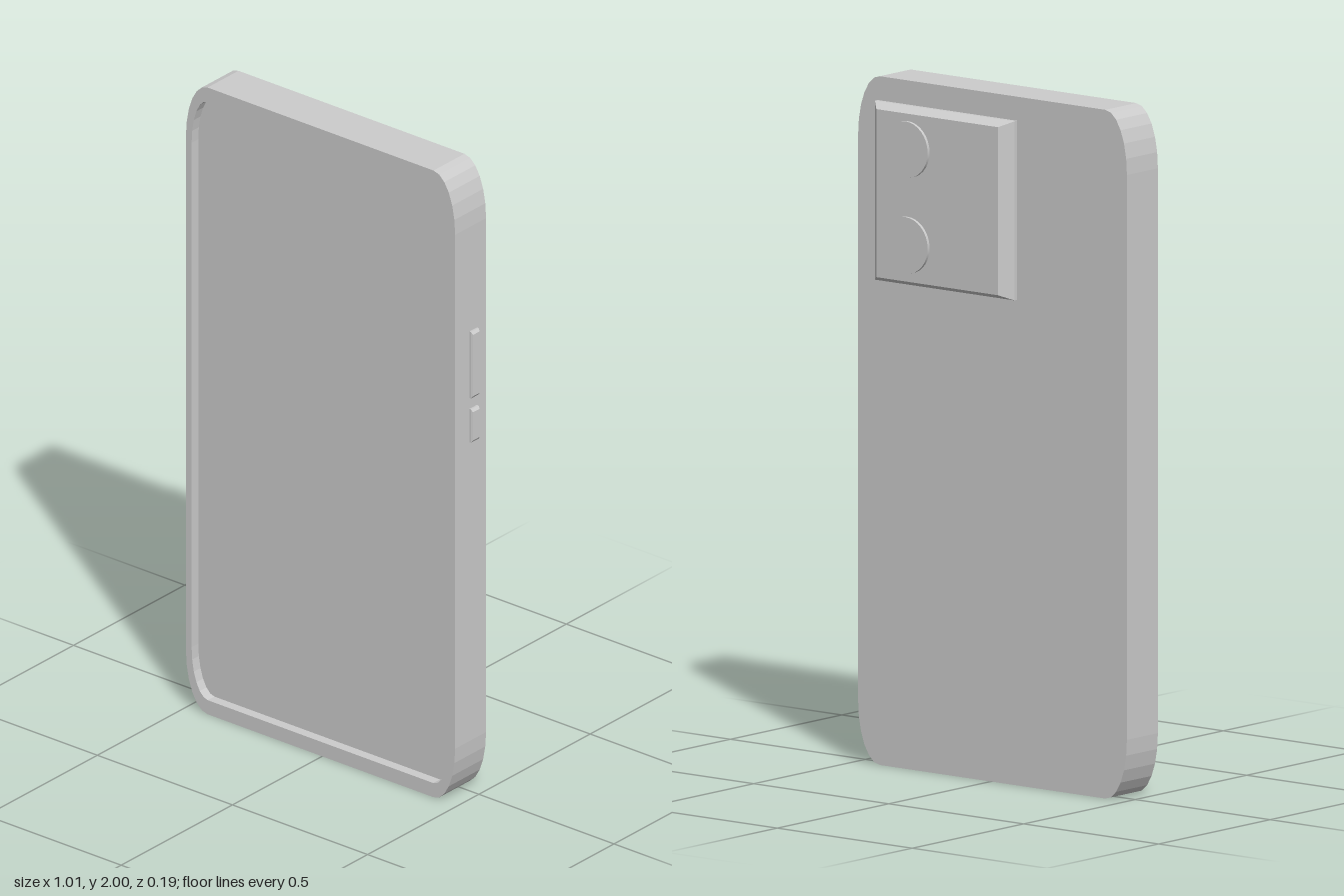
import * as THREE from 'three';

const CX = -0.006; // middle of the body; the buttons stick out on +x
const FRONT = 0.097, FLOOR = 0.067, BACK = -0.042;

// Rectangle with elliptical corners, wound counter-clockwise
function roundedRect(path, hw, hh, rx, ry) {
  const x = hw - rx, y = hh - ry;
  path.moveTo(hw, -y);
  [[x, y], [-x, y], [-x, -y], [x, -y]].forEach(([cx, cy], i) => {
    const a = i * Math.PI / 2;
    path.absellipse(cx, cy, rx, ry, a, a + Math.PI / 2, false);
  });
  return path;
}

function outline() {
  return roundedRect(new THREE.Shape(), 0.498, 1, 0.08, 0.18);
}

function extrude(shape, z0, z1) {
  const geo = new THREE.ExtrudeGeometry(shape, { depth: z1 - z0, bevelEnabled: false, curveSegments: 3 });
  return geo.translate(CX, 1, z0);
}

// Box whose end face along one axis is inset, after a short straight section
function bevelledBox(size, axis, sign, straight, inset) {
  const segs = { x: 1, y: 1, z: 1, [axis]: 2 };
  const geo = new THREE.BoxGeometry(size.x, size.y, size.z, segs.x, segs.y, segs.z).toNonIndexed();
  const p = geo.attributes.position;
  const v = new THREE.Vector3();
  const half = size[axis] / 2;
  for (let i = 0; i < p.count; i++) {
    v.fromBufferAttribute(p, i);
    const t = v[axis] * sign;
    if (Math.abs(t) < 1e-6) {
      v[axis] = sign * (straight - half);
    } else if (t > 0) {
      for (const k of ['x', 'y', 'z']) if (k !== axis) v[k] -= Math.sign(v[k]) * inset[k];
    }
    p.setXYZ(i, v.x, v.y, v.z);
  }
  geo.computeVertexNormals();
  return geo;
}

export function createModel() {
  const group = new THREE.Group();
  const grey = new THREE.MeshStandardMaterial({ color: 0xcccccc });
  grey.name = 'grey';

  const add = (name, geo, x = 0, y = 0, z = 0) => {
    const mesh = new THREE.Mesh(geo, grey);
    mesh.name = name;
    mesh.position.set(x, y, z);
    group.add(mesh);
    return mesh;
  };

  // Body slab, its front face being the screen
  add('body', extrude(outline(), BACK, FLOOR));

  // Raised rim around the recessed screen
  const rim = outline();
  rim.holes.push(roundedRect(new THREE.Path(), 0.477, 0.955, 0.06, 0.15));
  add('screenRim', extrude(rim, FLOOR, FRONT));

  // Camera housing with sloping sides
  const housing = bevelledBox(new THREE.Vector3(0.517, 0.52, 0.046), 'z', -1, 0.012, { x: 0.033, y: 0.016 });
  add('cameraHousing', housing, 0.161, 1.67, BACK - 0.023);

  // Two round lenses
  for (const y of [1.811, 1.533]) {
    const lens = new THREE.CylinderGeometry(0.082, 0.082, 0.02, 32).rotateX(Math.PI / 2);
    add('cameraLens', lens, 0.271, y, -0.087);
  }

  // Side buttons
  const buttons = [['volumeButton', 1.275, 1.487], ['powerButton', 1.134, 1.24]];
  for (const [name, y0, y1] of buttons) {
    const geo = bevelledBox(new THREE.Vector3(0.02, y1 - y0, 0.034), 'x', 1, 0.014, { y: 0.008, z: 0.002 });
    add(name, geo, 0.494, (y0 + y1) / 2, 0.016);
  }

  return group;
}
